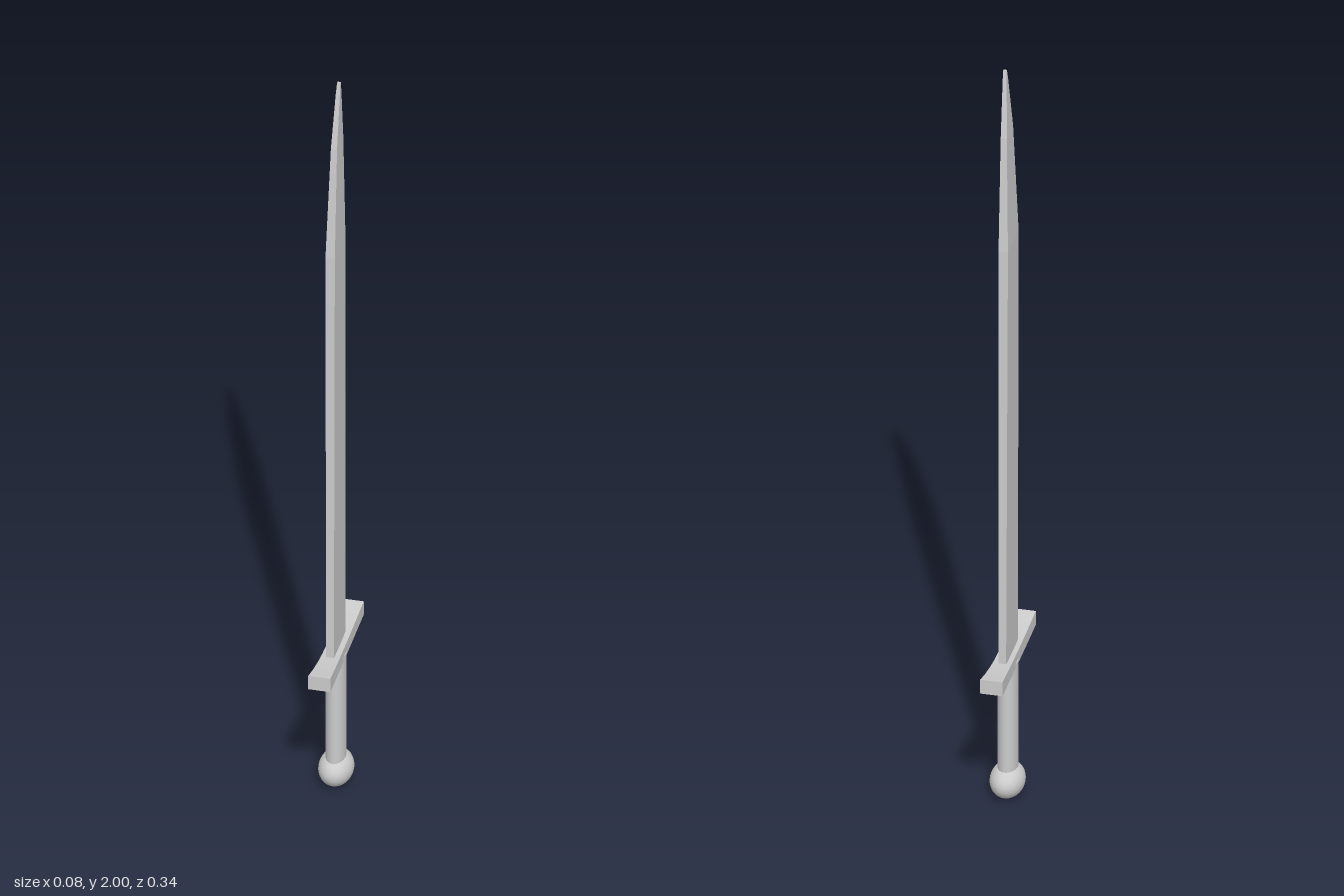
import * as THREE from 'three';

const grey = (flatShading = false) => new THREE.MeshStandardMaterial({ color: 0xcccccc, flatShading });

// Solid from a row of four-cornered sections; each section lists its corners counter-clockwise
// as seen looking back along the row.
function loft(sections) {
  const pos = sections.flat(2);
  const index = [];
  for (let s = 0; s < sections.length - 1; s++) {
    for (let i = 0; i < 4; i++) {
      const a = s * 4 + i, b = s * 4 + (i + 1) % 4;
      index.push(a, b, b + 4, a, b + 4, a + 4);
    }
  }
  const e = (sections.length - 1) * 4;
  index.push(0, 2, 1, 0, 3, 2, e, e + 1, e + 2, e, e + 2, e + 3);
  const geo = new THREE.BufferGeometry();
  geo.setAttribute('position', new THREE.Float32BufferAttribute(pos, 3));
  geo.setIndex(index);
  const flat = geo.toNonIndexed();
  flat.computeVertexNormals();
  return flat;
}

export function createModel() {
  const model = new THREE.Group();
  const add = (name, geo, flat) => {
    const mesh = new THREE.Mesh(geo, grey(flat));
    mesh.name = name;
    model.add(mesh);
    return mesh;
  };

  // Blade: slightly leaning flat bar that narrows to a point [y, xMin, xMax, zMin, zMax]
  const blade = [
    [0.37, -0.01, 0.009, -0.06, 0.058],
    [1.53, -0.013, 0.01, -0.054, 0.053],
    [1.83, -0.005, 0.01, -0.032, 0.031],
    [1.97, 0.001, 0.011, -0.009, 0.007],
    [2.0, 0.003, 0.011, -0.004, 0.002],
  ];
  add('blade', loft(blade.map(([y, x0, x1, z0, z1]) =>
    [[x0, y, z1], [x1, y, z1], [x1, y, z0], [x0, y, z0]])), true);

  // Guard: bar along z that curves upward and widens toward both ends
  const guard = [];
  for (let i = 0; i <= 8; i++) {
    const t = i / 4 - 1;
    const z = 0.168 * t;
    const w = 0.022 + 0.005 * t * t;
    const low = 0.357 + 0.015 * t * t, high = 0.392 + 0.018 * t * t;
    guard.push([[-w, low, z], [w, low, z], [w, high, z], [-w, high, z]]);
  }
  add('guard', loft(guard), true);

  // Grip: oval handle
  const grip = new THREE.CylinderGeometry(1, 1, 0.3, 32);
  grip.scale(0.024, 1, 0.035);
  add('grip', grip).position.y = 0.22;

  // Pommel: flattened ball, longest across the guard
  const pommel = new THREE.SphereGeometry(1, 32, 20);
  pommel.scale(0.042, 0.043, 0.057);
  add('pommel', pommel).position.set(0, 0.043, -0.003);

  return model;
}
